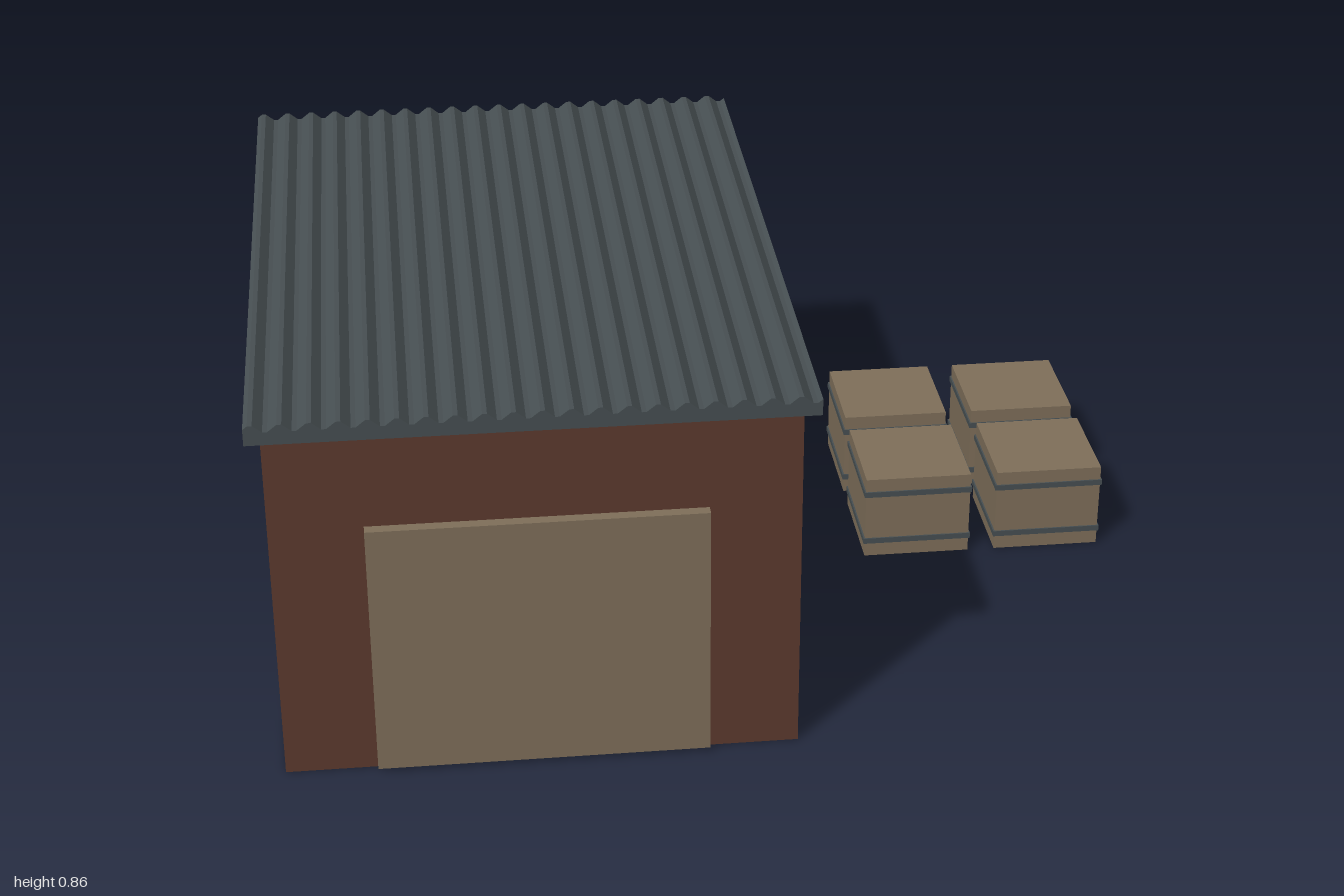
import * as THREE from 'three';

const mat = (name, color) => {
  const m = new THREE.MeshStandardMaterial({ color });
  m.name = name;
  return m;
};

export function createModel() {
  const brick = mat('brick', 0x5c3a2e);
  const wood = mat('wood', 0x7f6f5a);
  const metal = mat('metal', 0x474f52);

  const model = new THREE.Group();
  model.name = 'shedWithCrates';

  // Box given by its size and the centre of its base
  const box = (parent, name, material, [w, h, d], [x, y, z]) => {
    const mesh = new THREE.Mesh(new THREE.BoxGeometry(w, h, d), material);
    mesh.position.set(x, y + h / 2, z);
    mesh.name = name;
    parent.add(mesh);
  };

  // Building and its front door
  box(model, 'walls', brick, [1.115, 0.82, 1.6], [-0.411, 0, 0]);
  box(model, 'door', wood, [0.72, 0.59, 0.026], [-0.41, 0.01, 0.812]);

  // Corrugated roof: wavy cross-section extruded from back to front
  const left = -1, right = 0.18, waves = 20, steps = 6;
  const profile = new THREE.Shape();
  profile.moveTo(left, 0.82);
  profile.lineTo(right, 0.82);
  for (let i = waves * steps; i >= 0; i--) {
    const x = left + (right - left) * i / (waves * steps);
    profile.lineTo(x, 0.857 + 0.009 * Math.sin(i / steps * Math.PI * 2));
  }
  profile.closePath();
  const roofGeometry = new THREE.ExtrudeGeometry(profile, { depth: 1.66, bevelEnabled: false });
  roofGeometry.translate(0, 0, -0.83);
  const roof = new THREE.Mesh(roofGeometry, metal);
  roof.name = 'roof';
  model.add(roof);

  // Four crates, each with two metal bands
  for (const x of [0.549, 0.869]) {
    for (const z of [-0.403, -0.083]) {
      const crate = new THREE.Group();
      crate.name = 'crate';
      crate.position.set(x, 0, z);
      box(crate, 'crateBody', wood, [0.255, 0.21, 0.255], [0, 0, 0]);
      for (const y of [0.035, 0.163]) {
        box(crate, 'crateBand', metal, [0.262, 0.014, 0.262], [0, y, 0]);
      }
      model.add(crate);
    }
  }

  return model;
}
